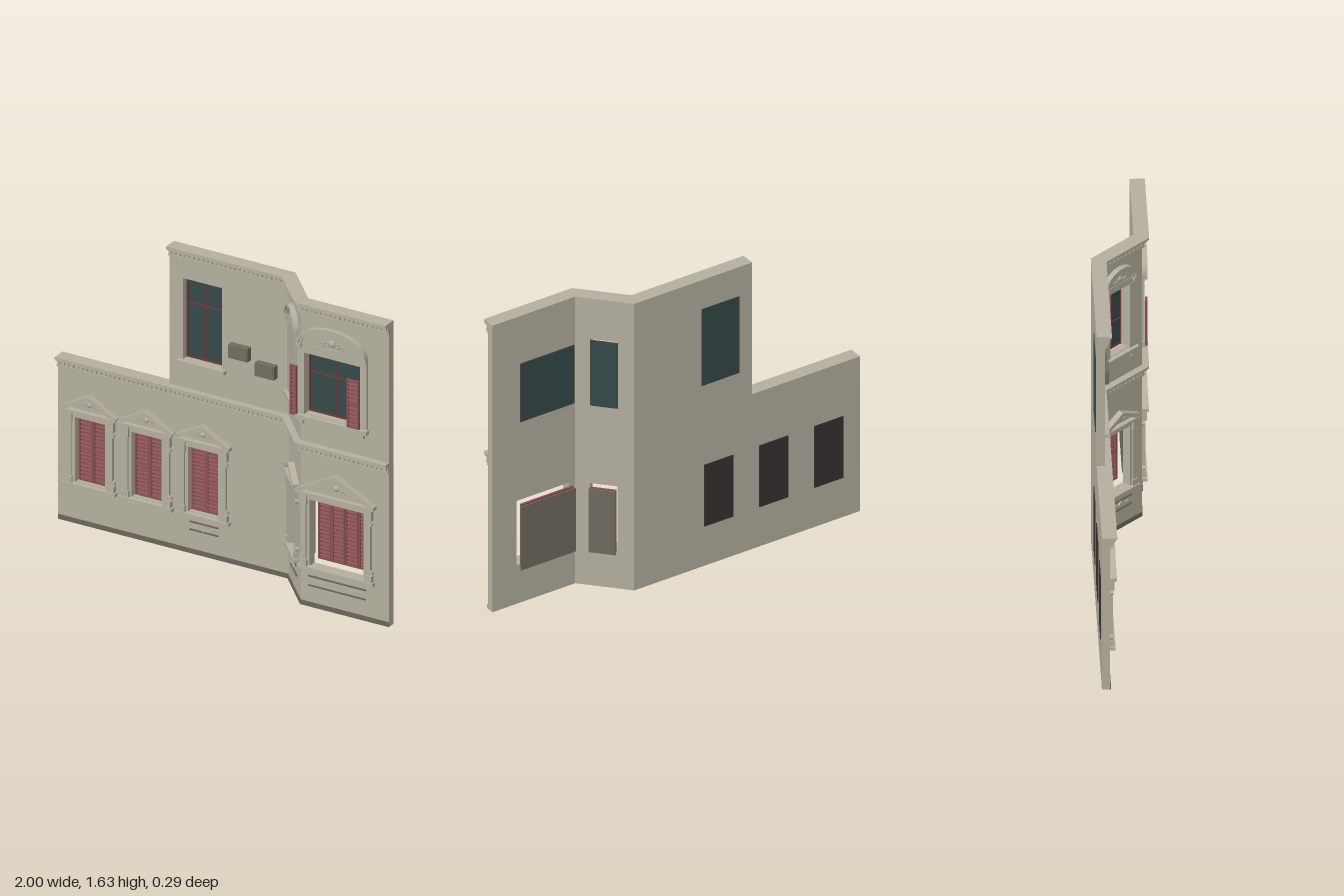
import * as THREE from 'three';

const mat = (name, color, side = THREE.FrontSide) => {
  const m = new THREE.MeshStandardMaterial({ color, side });
  m.name = name;
  return m;
};

export function createModel() {
  const stone = mat('stone', 0xb4af9f);
  const plinth = mat('plinth', 0x6b665c);
  const red = mat('shutterRed', 0x8a5154);
  const redTrim = mat('sashRed', 0x7e3436);
  const glass = mat('glass', 0x364848);
  const grey = mat('greyBrown', 0x716b60);
  const dark = mat('darkBacking', 0x393131);

  const model = new THREE.Group();
  model.name = 'facade';
  const THICK = 0.04, MITRE = 0.436;

  const group = (parent, name) => {
    const g = new THREE.Group();
    g.name = name;
    parent.add(g);
    return g;
  };
  const add = (parent, name, geo, m) => {
    const mesh = new THREE.Mesh(geo, m);
    mesh.name = name;
    parent.add(mesh);
    return mesh;
  };
  // Box from its extents: x along the wall, z outward from the wall face
  const box = (parent, name, m, x0, x1, y0, y1, z0, z1) => {
    const g = new THREE.BoxGeometry(x1 - x0, y1 - y0, z1 - z0);
    g.translate((x0 + x1) / 2, (y0 + y1) / 2, (z0 + z1) / 2);
    return add(parent, name, g, m);
  };
  const poly = pts => new THREE.Shape(pts.map(p => new THREE.Vector2(p[0], p[1])));
  const slab = (parent, name, m, shape, z0, z1) => {
    const g = new THREE.ExtrudeGeometry(shape, { depth: z1 - z0, bevelEnabled: false, curveSegments: 20 });
    g.translate(0, 0, z0);
    return add(parent, name, g, m);
  };
  // Slide the end vertices so neighbouring walls meet on the bisector
  const mitre = (mesh, u0, s0, u1, s1) => {
    const p = mesh.geometry.attributes.position;
    for (let i = 0; i < p.count; i++) {
      const x = p.getX(i), n = p.getZ(i);
      if (Math.abs(x - u0) < 1e-4) p.setX(i, x + s0 * n);
      else if (Math.abs(x - u1) < 1e-4) p.setX(i, x + s1 * n);
    }
    mesh.geometry.computeVertexNormals();
  };

  // Wall section with openings [x0, x1, y0, y1], plinth and cornices
  const section = (name, pos, rotY, u0, s0, u1, s1, outline, holes, upperStart = u0) => {
    const g = group(model, name);
    g.position.set(pos[0], 0, pos[1]);
    g.rotation.y = rotY;
    const shape = poly(outline);
    for (const [a, b, c, d] of holes) shape.holes.push(new THREE.Path(poly([[a, c], [a, d], [b, d], [b, c]]).getPoints()));
    mitre(slab(g, 'wall', stone, shape, -THICK, 0), u0, s0, u1, s1);
    mitre(box(g, 'plinth', plinth, u0, u1, 0, 0.025, 0, 0.004), u0, s0, u1, s1);
    const cornice = (label, start, top) => {
      const c = group(g, label);
      const sA = start === u0 ? s0 : 0;
      for (const [lo, hi, out] of [[0.011, 0, 0.035], [0.022, 0.011, 0.028], [0.045, 0.022, 0.012], [0.053, 0.045, 0.016], [0.064, 0.058, 0.007]])
        mitre(box(c, 'moulding', stone, start, u1, top - lo, top - hi, 0, out), start, sA, u1, s1);
      const n = Math.round((u1 - start) / 0.026);
      for (let i = 0; i < n; i++) {
        const x = start + (i + 0.5) * (u1 - start) / n;
        box(c, 'dentil', stone, x - 0.007, x + 0.007, top - 0.04, top - 0.022, 0.01, 0.022);
      }
    };
    cornice('lowerCornice', u0, 0.88);
    cornice('upperCornice', upperStart, 1.63);
    return g;
  };

  // Louvred shutter leaf
  const leaf = (parent, x0, x1, y0, y1, z) => {
    const g = group(parent, 'shutterLeaf'), r = 0.009;
    box(g, 'backing', red, x0, x1, y0, y1, z - 0.003, z);
    for (const x of [x0, x1 - r]) box(g, 'stile', red, x, x + r, y0, y1, z, z + 0.008);
    for (const y of [y0, (y0 + y1) / 2 - r / 2, y1 - r]) box(g, 'rail', red, x0 + r, x1 - r, y, y + r, z, z + 0.008);
    const n = Math.round((y1 - y0) / 0.021);
    for (let i = 1; i < n; i++) {
      const s = add(g, 'slat', new THREE.BoxGeometry(x1 - x0 - 2 * r, 0.011, 0.002), red);
      s.position.set((x0 + x1) / 2, y0 + i * (y1 - y0) / n, z + 0.004);
      s.rotation.x = -0.6;
    }
  };
  const shutters = (parent, x0, x1, y0, y1, z, n) => {
    const w = (x1 - x0) / n;
    for (let i = 0; i < n; i++) leaf(parent, x0 + i * w + 0.001, x0 + (i + 1) * w - 0.001, y0, y1, z);
  };

  // Carved shell with scrolls
  const ornament = (parent, c, y, s, z) => {
    const g = group(parent, 'carvedOrnament');
    const shell = add(g, 'shell', new THREE.SphereGeometry(0.016 * s, 12, 8), stone);
    shell.position.set(c, y, z);
    shell.scale.z = 0.6;
    for (const d of [-1, 1]) for (const k of [1, 2]) {
      const t = add(g, 'scroll', new THREE.TorusGeometry((0.013 - 0.003 * k) * s, 0.003 * s, 6, 12), stone);
      t.position.set(c + d * (0.004 + 0.021 * k) * s, y - 0.005 * k * s, z);
    }
  };

  // Pedimented surround: half opening w, margin m
  const pedimentWindow = (parent, c, w, m, y0, y1, apex) => {
    const g = group(parent, 'pedimentSurround');
    const o = w + m, e = o + 0.012, ey = y1 + 0.045;
    box(g, 'sill', stone, c - o - 0.005, c + o + 0.005, y0 - 0.022, y0 - 0.004, 0, 0.028);
    box(g, 'lintel', stone, c - o + 0.01, c + o - 0.01, y1, ey - 0.012, 0, 0.014);
    box(g, 'pedimentBase', stone, c - e, c + e, ey - 0.012, ey, 0, 0.035);
    for (const d of [-1, 1]) {
      const X = f => c + d * (w + f * m);
      const side = (name, a, b, p, q, out) => box(g, name, stone, Math.min(X(a), X(b)), Math.max(X(a), X(b)), p, q, 0, out);
      side('architrave', 0, 0.3, y0, y1, 0.01);
      side('pilaster', 0.3, 0.75, y0 + 0.03, y1 - 0.03, 0.017);
      side('pilasterFoot', 0.2, 0.92, y0 - 0.004, y0 + 0.03, 0.022);
      side('capital', 0.2, 0.9, y1 - 0.03, ey - 0.012, 0.024);
      // scroll brackets at foot and head
      for (const [yy, f, r] of [[y0 + 0.045, 0.75, 0.013], [y1 - 0.05, 0.72, 0.011]]) {
        const v = new THREE.CylinderGeometry(r, r, 0.018, 14);
        v.rotateX(Math.PI / 2);
        v.translate(X(f), yy, 0.009);
        add(g, 'volute', v, stone);
      }
    }
    const t = 0.02;
    slab(g, 'tympanum', stone, poly([[c - e, ey], [c + e, ey], [c, apex - 0.01]]), 0, 0.009);
    slab(g, 'rakingCornice', stone, poly([[c - e, ey], [c - e + 0.035, ey], [c, apex - t], [c + e - 0.035, ey], [c + e, ey], [c + e, ey + 0.006], [c, apex], [c - e, ey + 0.006]]), 0, 0.032);
    ornament(g, c, ey + (apex - ey) * 0.4, Math.min(1, w / 0.1), 0.011);
  };

  // Arched surround
  const archWindow = (parent, c, w, m, y0, y1, spring, apex) => {
    const g = group(parent, 'archSurround'), o = w + m, ry = apex - spring;
    const half = (rx, h) => {
      const pts = [];
      for (let i = 0; i <= 24; i++) {
        const a = Math.PI * i / 24;
        pts.push([c + rx * Math.cos(a), spring + h * Math.sin(a)]);
      }
      return pts;
    };
    slab(g, 'tympanum', stone, poly(half(o, ry)), 0, 0.008);
    for (const [k, j, z] of [[0, 0.014, 0.028], [0.014, 0.026, 0.018]])
      slab(g, 'archBand', stone, poly([...half(o - k, ry - k), ...half(o - j, ry - j).reverse()]), 0, z);
    box(g, 'lintel', stone, c - o, c + o, y1, spring, 0, 0.01);
    for (const d of [-1, 1]) {
      box(g, 'jamb', stone, c + d * (w + m / 2) - m / 2, c + d * (w + m / 2) + m / 2, y0, y1, 0, 0.012);
      box(g, 'impost', stone, c + d * (o - 0.012) - 0.014, c + d * (o - 0.012) + 0.014, spring - 0.022, spring, 0, 0.026);
      box(g, 'bracket', stone, c + d * (o - 0.025) - 0.01, c + d * (o - 0.025) + 0.01, y0 - 0.05, y0 - 0.022, 0, 0.018);
    }
    box(g, 'sill', stone, c - o - 0.006, c + o + 0.006, y0 - 0.024, y0 - 0.003, 0, 0.028);
    ornament(g, c, spring + ry * 0.3, Math.min(1.2, w / 0.08), 0.01);
  };

  // Glazed sash with thin bars
  const sash = (parent, x0, x1, y0, y1, z, barY) => {
    const g = group(parent, 'glazedWindow'), t = 0.006, c = (x0 + x1) / 2;
    box(g, 'pane', glass, x0, x1, y0, y1, z - 0.004, z);
    for (const x of [x0, c - t / 2, x1 - t]) box(g, 'uprightBar', redTrim, x, x + t, y0, y1, z, z + 0.006);
    for (const y of [y0, barY, y1 - t]) box(g, 'crossBar', redTrim, x0, x1, y, y + t, z, z + 0.005);
  };

  // Relief panel under a window: two lines and a diamond
  const relief = (parent, c, w, y, h) => {
    const g = group(parent, 'reliefPanel');
    for (const d of [-1, 1]) box(g, 'reliefLine', plinth, c - w, c + w, y + d * h - 0.003, y + d * h + 0.003, 0, 0.008);
    slab(g, 'diamond', stone, poly([[c - 0.02, y], [c, y - 0.02], [c + 0.02, y], [c, y + 0.02]]), 0, 0.009);
    for (const d of [-1, 1]) box(g, 'reliefDash', stone, c + d * w * 0.55 - w * 0.16, c + d * w * 0.55 + w * 0.16, y - 0.002, y + 0.002, 0, 0.006);
  };

  const rect = (a, b) => [[a, 0], [b, 0], [b, 1.63], [a, 1.63]];

  // Long left wall
  const centres = [-0.815, -0.495, -0.175];
  const left = section('leftWall', [0, -0.105], 0, -1, 0, 0.3, -MITRE,
    [[-1, 0], [0.3, 0], [0.3, 1.63], [-0.37, 1.63], [-0.37, 0.88], [-1, 0.88]],
    [...centres.map(c => [c - 0.085, c + 0.085, 0.225, 0.575]), [-0.295, -0.075, 1.03, 1.465]], -0.37);
  for (const c of centres) {
    pedimentWindow(left, c, 0.085, 0.06, 0.225, 0.575, 0.71);
    box(left, 'windowBacking', dark, c - 0.085, c + 0.085, 0.225, 0.575, -0.044, -0.038);
    shutters(left, c - 0.085, c + 0.085, 0.225, 0.575, -0.03, 2);
  }
  relief(left, -0.175, 0.08, 0.15, 0.021);
  sash(left, -0.295, -0.075, 1.03, 1.465, -0.04, 1.32);
  box(left, 'upperSill', stone, -0.32, -0.05, 1.01, 1.03, 0, 0.025);
  for (const [x, y] of [[-0.02, 1.12], [0.13, 1.06]]) {
    const g = group(left, 'airUnit');
    box(g, 'casing', grey, x, x + 0.11, y, y + 0.07, 0, 0.035);
    for (let i = 0; i < 6; i++) box(g, 'grille', grey, x + 0.006, x + 0.104, y + 0.008 + i * 0.01, y + 0.012 + i * 0.01, 0.035, 0.038);
  }

  // Slanted corner wall
  const H = Math.hypot(0.2, 0.215) / 2;
  const slant = section('slantedWall', [0.4, 0.0025], -Math.atan2(0.215, 0.2), -H, MITRE, H, MITRE,
    rect(-H, H), [[-0.08, 0.056, 0.22, 0.58], [-0.08, 0.052, 1.03, 1.4]]);
  pedimentWindow(slant, -0.012, 0.068, 0.045, 0.225, 0.575, 0.69);
  shutters(slant, -0.085, 0.05, 0.23, 0.58, -0.078, 2);
  box(slant, 'windowBacking', grey, -0.084, 0.05, 0.22, 0.58, -0.094, -0.088);
  archWindow(slant, -0.014, 0.066, 0.045, 1.03, 1.4, 1.435, 1.53);
  sash(slant, -0.085, 0.052, 1.03, 1.4, -0.05, 1.18);
  relief(slant, 0, 0.07, 0.14, 0.025);

  // Projecting right wall
  const right = section('rightWall', [0, 0.11], 0, 0.5, -MITRE, 1, 0, rect(0.5, 1),
    [[0.555, 0.86, 0.22, 0.585], [0.525, 0.84, 1.03, 1.36]]);
  pedimentWindow(right, 0.7075, 0.1525, 0.056, 0.225, 0.58, 0.745);
  shutters(right, 0.555, 0.86, 0.23, 0.585, -0.078, 4);
  box(right, 'windowBacking', grey, 0.55, 0.87, 0.22, 0.58, -0.094, -0.088);
  archWindow(right, 0.683, 0.158, 0.038, 1.03, 1.36, 1.41, 1.52);
  sash(right, 0.525, 0.84, 1.03, 1.36, -0.043, 1.24);
  leaf(right, 0.772, 0.842, 1.025, 1.285, 0.016);
  leaf(right, 0.452, 0.49, 1.02, 1.285, 0.018);
  relief(right, 0.7075, 0.162, 0.14, 0.025);

  return model;
}
